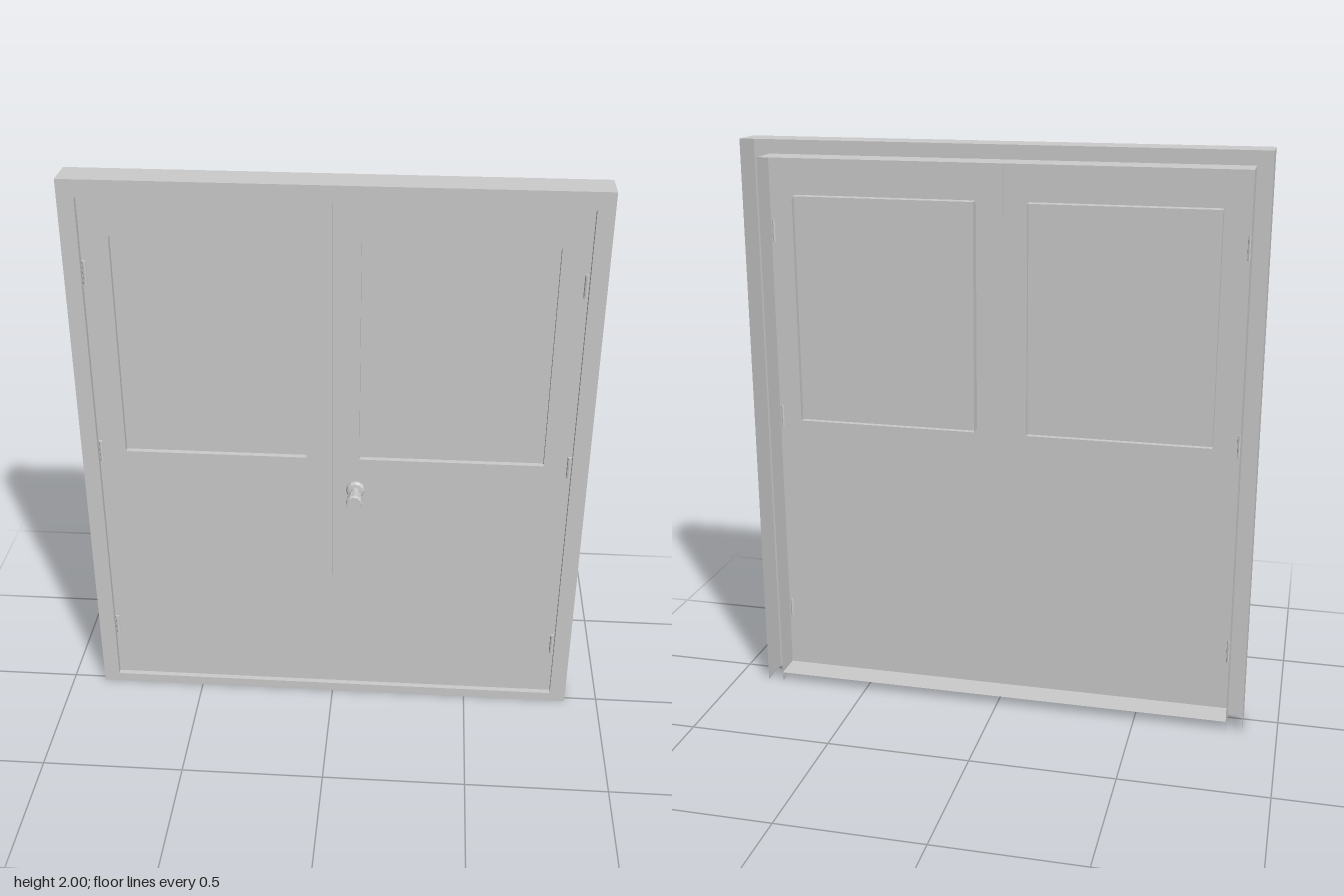
import * as THREE from 'three';

const material = new THREE.MeshStandardMaterial({ color: 0xcccccc, flatShading: true, side: THREE.DoubleSide });

const FRONT = 0.02, BACK = -0.1;      // depth of the frame
const W = 0.88, H = 2;                // frame outline
const IW = 0.823, SILL = 0.035, HEAD = 1.94; // door opening
const DOOR_Z = 0, GAP = 0.002;

const rect = (x0, y0, x1, y1) => [[x0, y0], [x1, y0], [x1, y1], [x0, y1]];
const vectors = (points) => points.map(([x, y]) => new THREE.Vector2(x, y));

function addMesh(parent, name, geometry) {
  const mesh = new THREE.Mesh(geometry, material);
  mesh.name = name;
  parent.add(mesh);
  return mesh;
}

// Flat sheet facing +z, with an optional opening
function sheet(outline, z, hole) {
  const shape = new THREE.Shape(vectors(outline));
  if (hole) shape.holes.push(new THREE.Path(vectors(hole)));
  return new THREE.ShapeGeometry(shape).translate(0, 0, z);
}

// Thin wall that follows a line of points between two depths
function wall(points, z0, z1) {
  const position = [], index = [];
  points.forEach(([x, y], i) => {
    position.push(x, y, z0, x, y, z1);
    if (i) {
      const a = 2 * i - 2;
      index.push(a, a + 1, a + 2, a + 2, a + 1, a + 3);
    }
  });
  const geometry = new THREE.BufferGeometry();
  geometry.setAttribute('position', new THREE.Float32BufferAttribute(position, 3));
  geometry.setIndex(index);
  geometry.computeVertexNormals();
  return geometry;
}

// Hollow frame, open at the back and underneath
function createFrame() {
  const frame = new THREE.Group();
  frame.name = 'frame';
  addMesh(frame, 'frameFace', sheet(rect(-W, 0, W, H), FRONT, rect(-IW, SILL, IW, HEAD)));
  addMesh(frame, 'frameOuterWall', wall([[-W, 0], [-W, H], [W, H], [W, 0]], FRONT, BACK));
  addMesh(frame, 'frameReveal', wall([[-IW, 0], [-IW, HEAD], [IW, HEAD], [IW, 0]], FRONT, BACK));
  addMesh(frame, 'sill', wall([[-IW, SILL], [IW, SILL]], FRONT, BACK));
  return frame;
}

// One leaf with a recessed window and three hinges
function createLeaf(side, name) {
  const leaf = new THREE.Group();
  leaf.name = name;
  const span = (a, b) => (side > 0 ? [a, b] : [-b, -a]);
  const [x0, x1] = span(GAP, IW);
  const [w0, w1] = span(0.092, 0.728);
  const opening = rect(w0, 1.01, w1, 1.805);
  addMesh(leaf, 'doorPanel', sheet(rect(x0, SILL, x1, HEAD), DOOR_Z, opening));
  addMesh(leaf, 'windowRim', wall([...opening, opening[0]], DOOR_Z, -0.04));
  addMesh(leaf, 'windowPane', sheet(opening, -0.02));
  for (const y of [0.255, 1.01, 1.68]) {
    const hinge = addMesh(leaf, 'hinge', new THREE.CylinderGeometry(0.007, 0.007, 0.08, 8));
    hinge.position.set(side * 0.814, y, DOOR_Z + 0.003);
  }
  return leaf;
}

// Narrow groove where the leaves meet
function createGroove() {
  const groove = new THREE.Group();
  groove.name = 'meetingGroove';
  for (const x of [-GAP, GAP]) {
    addMesh(groove, 'grooveSide', wall([[x, SILL], [x, HEAD]], DOOR_Z, -0.005));
  }
  addMesh(groove, 'grooveBack', sheet(rect(-GAP, SILL, GAP, HEAD), -0.005));
  return groove;
}

// Rosette, neck and slightly flared knob, turned about z
function createKnob(parent) {
  const profile = vectors([
    [0, 0], [0.033, 0], [0.033, 0.008], [0.028, 0.016], [0.015, 0.018],
    [0.015, 0.044], [0.024, 0.048], [0.028, 0.092], [0.025, 0.1], [0, 0.1],
  ]);
  const knob = addMesh(parent, 'doorKnob', new THREE.LatheGeometry(profile, 12).rotateX(Math.PI / 2));
  knob.position.set(0.08, 0.89, DOOR_Z);
}

export function createModel() {
  const model = new THREE.Group();
  model.name = 'doubleDoor';
  model.add(createFrame(), createLeaf(1, 'leftDoor'), createLeaf(-1, 'rightDoor'), createGroove());
  createKnob(model);
  // Centre the whole depth, from frame back to knob tip
  const box = new THREE.Box3().setFromObject(model);
  model.position.z = -(box.min.z + box.max.z) / 2;
  return model;
}
